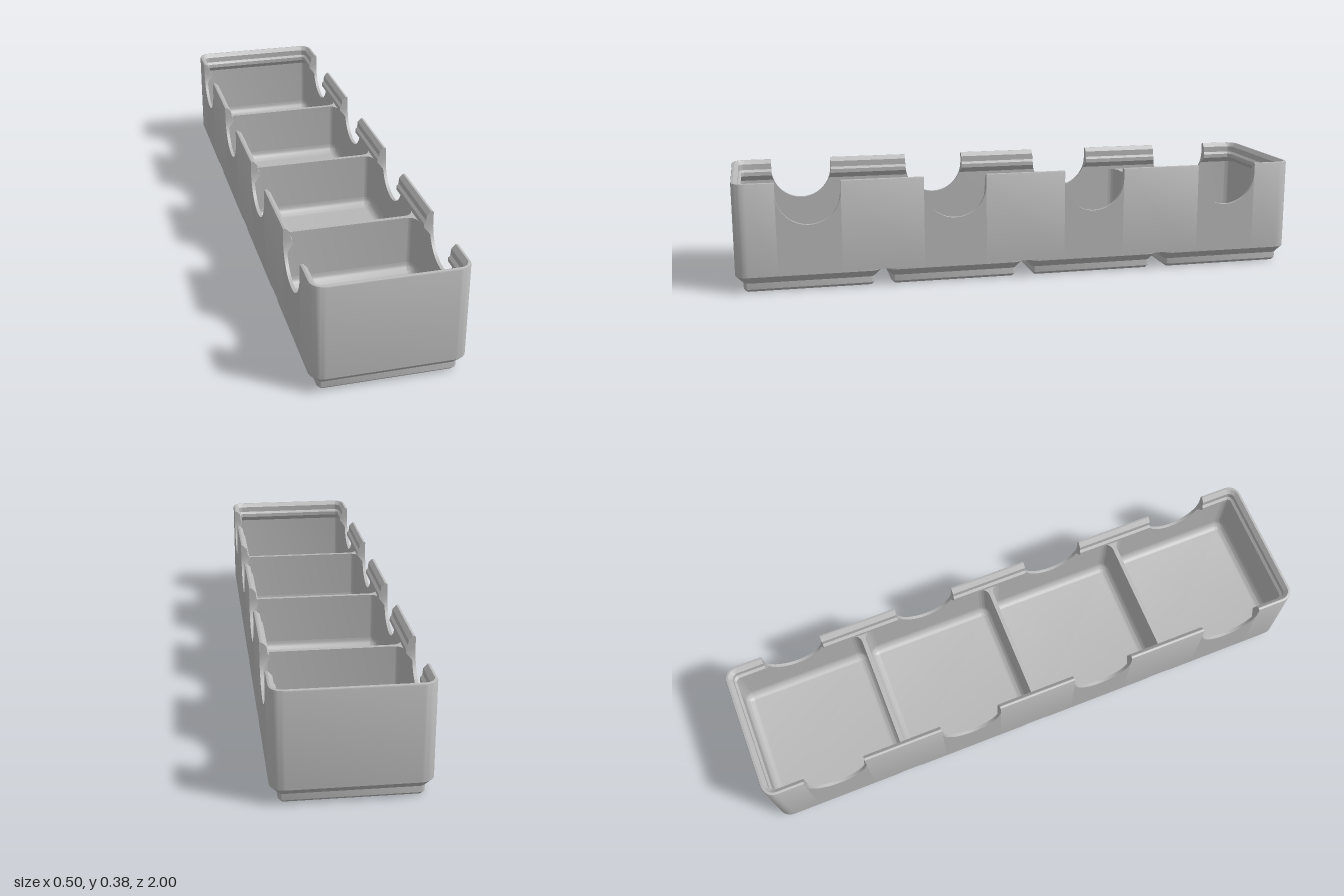
import * as THREE from 'three';
import { toCreasedNormals } from 'three/addons/utils/BufferGeometryUtils.js';

const HX = 0.2475, HZ = 1, CORNER = 0.045, TOP = 0.377;
const WALL = 0.0113, FLOOR = 0.084, DIVIDER_TOP = 0.287, DIVIDER_HALF = 0.0075;
const CELL_PITCH = 0.498, FOOT_PITCH = 0.5015;
const NOTCH_R = 0.109, NOTCH_Y = 0.339;
const SLOTS = [-1.5, -0.5, 0.5, 1.5];

// Stations around a rounded rectangle: corner centre, outward direction, height limit.
// side(s) may return extra stations along the two long sides.
function stations(hx, hz, r, side = () => []) {
  const list = [];
  const corners = [[1, 1], [-1, 1], [-1, -1], [1, -1]];
  corners.forEach(([sx, sz], c) => {
    for (let i = 0; i <= 8; i++) {
      const a = (c + i / 8) * Math.PI / 2;
      list.push({ x: sx * (hx - r), z: sz * (hz - r), nx: Math.cos(a), nz: Math.sin(a), h: Infinity });
    }
    if (c === 1) list.push(...side(-1));
    if (c === 3) list.push(...side(1));
  });
  return list;
}

const ring = (hx, hz, r, y) =>
  stations(hx, hz, r).map((s) => [s.x + s.nx * r, y, s.z + s.nz * r]);

// Skin through closed rings, with optional flat ends
function loft(rings, capStart, capEnd) {
  const pos = [];
  const tri = (...p) => p.forEach((v) => pos.push(...v));
  const n = rings[0].length;
  for (let k = 0; k < rings.length - 1; k++) {
    for (let j = 0; j < n; j++) {
      const i = (j + 1) % n;
      const a = rings[k][j], b = rings[k][i], c = rings[k + 1][i], d = rings[k + 1][j];
      tri(a, d, c);
      tri(a, c, b);
    }
  }
  const cap = (r, up) => {
    const mid = [0, r[0][1], 0];
    for (let j = 0; j < n; j++) {
      const i = (j + 1) % n;
      if (up) tri(mid, r[i], r[j]);
      else tri(mid, r[j], r[i]);
    }
  };
  if (capStart) cap(rings[0], false);
  if (capEnd) cap(rings[rings.length - 1], true);
  const geo = new THREE.BufferGeometry();
  geo.setAttribute('position', new THREE.Float32BufferAttribute(pos, 3));
  return toCreasedNormals(geo, 0.6);
}

// Inset of the wall faces by height: [y, inset]
const OUTER = [[0.062, 0], [0.372, 0], [0.3755, 0.0015], [TOP, 0.005]];
const INNER = [[0.08, WALL], [0.3, WALL], [0.32, 0.031], [0.334, 0.031], [0.342, 0.0227], [0.363, 0.0227], [TOP, 0.0095]];

function insetAt(table, y) {
  for (let i = 1; i < table.length; i++) {
    const [y0, d0] = table[i - 1], [y1, d1] = table[i];
    if (y <= y1) return d0 + (d1 - d0) * (y - y0) / (y1 - y0);
  }
  return table[table.length - 1][1];
}

// Round finger notches along one long side
function notchStations(s) {
  const list = [];
  const add = (z, h) => list.push({ x: s * (HX - CORNER), z, nx: s, nz: 0, h });
  for (const slot of SLOTS) {
    const zc = s * slot * 0.5;
    add(zc - s * NOTCH_R, Infinity);
    for (let i = 0; i <= 24; i++) {
      const a = i / 24 * Math.PI;
      add(zc - s * NOTCH_R * Math.cos(a), NOTCH_Y - NOTCH_R * Math.sin(a));
    }
    add(zc + s * NOTCH_R, Infinity);
  }
  return list;
}

// Outer wall with stepped lip, cut down to the notch height at each station
function wallGeometry() {
  const path = stations(HX, HZ, CORNER, notchStations);
  const row = (table, y) => path.map((s) => {
    const yy = Math.min(y, s.h);
    const d = CORNER - insetAt(table, yy);
    return [s.x + s.nx * d, yy, s.z + s.nz * d];
  });
  return loft([
    ...OUTER.map(([y]) => row(OUTER, y)),
    ...INNER.slice().reverse().map(([y]) => row(INNER, y)),
  ], true, false);
}

// Foot with chamfered sides
function footGeometry() {
  return loft([
    [0.212, 0.0095, 0], [0.2215, 0.019, 0.0095], [0.2215, 0.019, 0.031],
    [HX, CORNER, 0.057], [HX, CORNER, 0.062],
  ].map(([half, r, y]) => ring(half, half, r, y)), true, false);
}

// Compartment floor with a rounded edge
function trayGeometry() {
  const f = 0.033, hx = HX - WALL, hz = CELL_PITCH / 2 - DIVIDER_HALF;
  const rings = [];
  for (let i = 0; i <= 8; i++) {
    const a = i / 8 * Math.PI / 2;
    const d = f * (1 - Math.cos(a));
    rings.push(ring(hx - d, hz - d, CORNER - WALL - d, FLOOR + f * (1 - Math.sin(a))));
  }
  return loft(rings, false, true);
}

// Divider that flares into the walls at both ends
function dividerGeometry() {
  const w = HX - WALL, t = DIVIDER_HALF, r = CORNER - WALL, q = Math.PI / 2;
  const shape = new THREE.Shape();
  shape.moveTo(-w, t + r);
  shape.absarc(-w + r, t + r, r, 2 * q, 3 * q, false);
  shape.absarc(w - r, t + r, r, 3 * q, 4 * q, false);
  shape.lineTo(w, -t - r);
  shape.absarc(w - r, -t - r, r, 0, q, false);
  shape.absarc(-w + r, -t - r, r, q, 2 * q, false);
  shape.closePath();
  const geo = new THREE.ExtrudeGeometry(shape, { depth: DIVIDER_TOP - 0.08, bevelEnabled: false, curveSegments: 8 });
  geo.rotateX(-Math.PI / 2);
  geo.translate(0, 0.08, 0);
  return toCreasedNormals(geo, 0.6);
}

export function createModel() {
  const model = new THREE.Group();
  model.name = 'storageBin';
  const grey = new THREE.MeshStandardMaterial({ color: 0xb8b8b8 });
  grey.name = 'grey plastic';

  const add = (name, geo, z = 0) => {
    const mesh = new THREE.Mesh(geo, grey);
    mesh.name = name;
    mesh.position.z = z;
    model.add(mesh);
  };

  add('outerWall', wallGeometry());
  const foot = footGeometry(), tray = trayGeometry(), divider = dividerGeometry();
  for (const slot of SLOTS) {
    add('foot', foot, slot * FOOT_PITCH);
    add('compartmentFloor', tray, slot * CELL_PITCH);
  }
  for (const i of [-1, 0, 1]) add('divider', divider, i * CELL_PITCH);
  return model;
}
